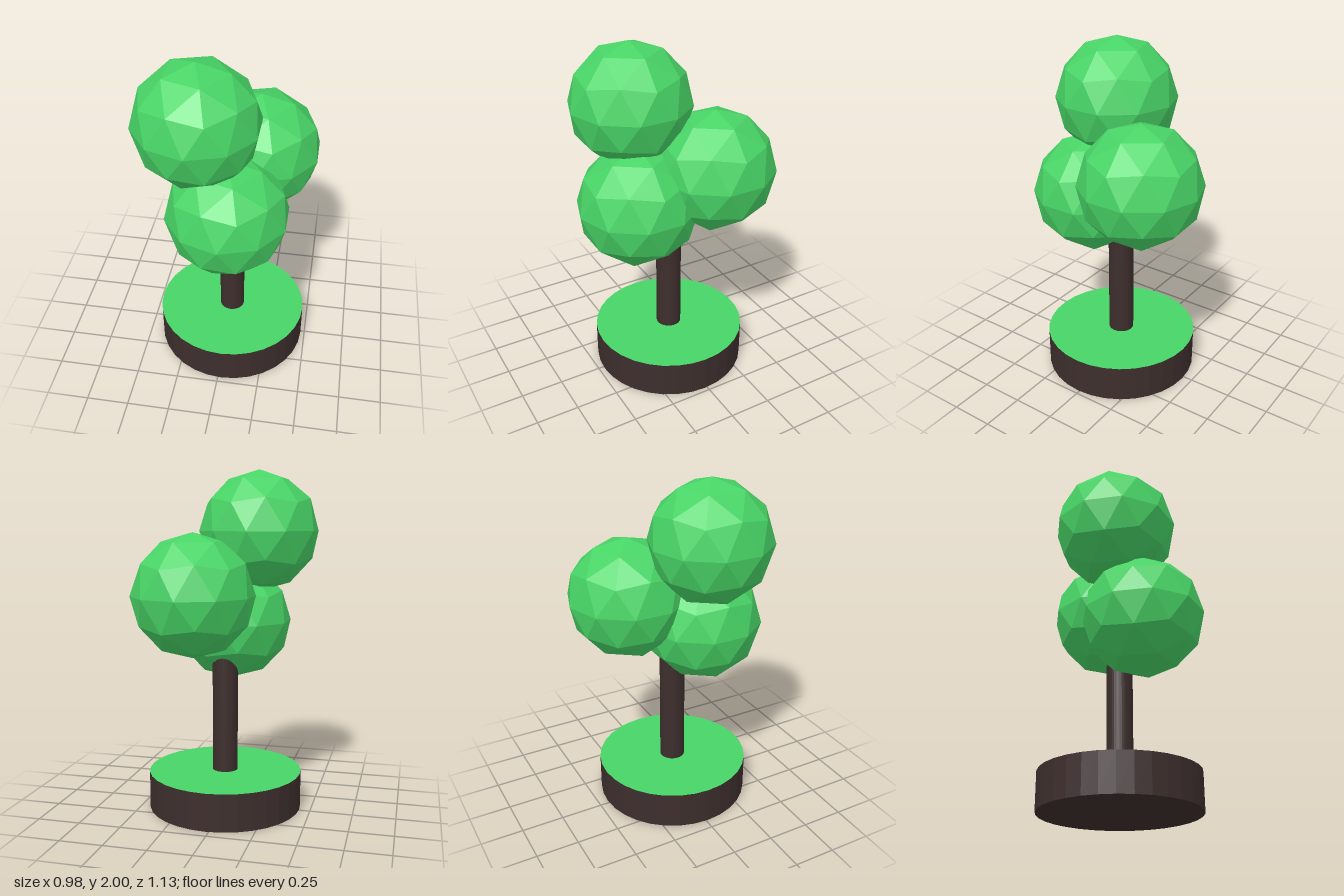
import * as THREE from 'three';

const green = new THREE.MeshStandardMaterial({ color: 0x48d466, flatShading: true });
const bark = new THREE.MeshStandardMaterial({ color: 0x3d2e2d, flatShading: true });

function addMesh(group, name, geometry, material, x, y, z) {
  const mesh = new THREE.Mesh(geometry, material);
  mesh.name = name;
  mesh.position.set(x, y, z);
  group.add(mesh);
}

export function createModel() {
  const tree = new THREE.Group();
  tree.name = 'tree';
  const cx = 0.02, cz = 0.012;

  // Round soil base with a grass top (side, top, bottom materials)
  const baseHeight = 0.22;
  addMesh(tree, 'base', new THREE.CylinderGeometry(0.455, 0.455, baseHeight, 32),
    [bark, green, bark], cx, baseHeight / 2, cz);

  // Trunk, ending inside the foliage
  const trunkTop = 1.15;
  addMesh(tree, 'trunk', new THREE.CylinderGeometry(0.075, 0.075, trunkTop - baseHeight, 32),
    bark, cx, (trunkTop + baseHeight) / 2, cz);

  // Low-poly foliage balls, turned so that one corner points straight up
  const ball = new THREE.IcosahedronGeometry(0.355, 1);
  ball.rotateZ(-Math.atan(2 / (1 + Math.sqrt(5))));
  const foliage = [
    ['upperFoliage', -0.15, 1.645, 0.16],
    ['backFoliage', 0.15, 1.285, -0.21],
    ['lowerFoliage', 0.02, 1.105, 0.21],
  ];
  for (const [name, x, y, z] of foliage) addMesh(tree, name, ball, green, x, y, z);

  return tree;
}
